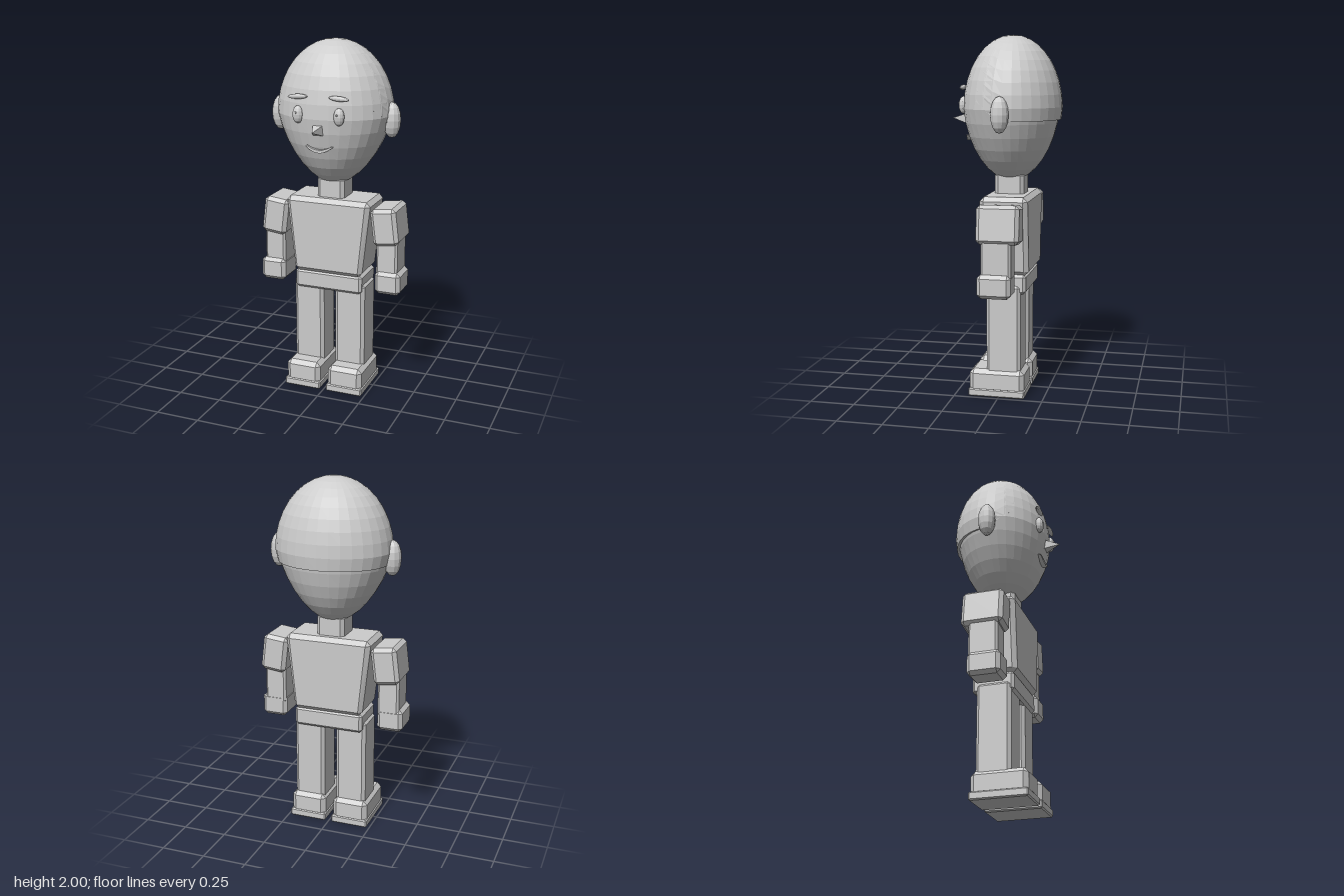
import * as THREE from 'three';
import { ConvexGeometry } from 'three/addons/geometries/ConvexGeometry.js';

const grey = new THREE.MeshStandardMaterial({ color: 0xcccccc });
grey.name = 'plain grey';

const CZ = -0.03; // depth of the body's middle plane

function add(parent, name, geometry, x = 0, y = 0, z = 0) {
  const mesh = new THREE.Mesh(geometry, grey);
  mesh.name = name;
  mesh.position.set(x, y, z);
  parent.add(mesh);
  return mesh;
}

function faceted(geometry) {
  const g = geometry.index ? geometry.toNonIndexed() : geometry;
  g.computeVertexNormals();
  return g;
}

// Box with chamfered edges; the bottom width may be narrower than the top
function chamferBox(w, h, d, c = 0.02, bottom = 1) {
  const pts = [];
  for (const sx of [-1, 1]) for (const sy of [-1, 1]) for (const sz of [-1, 1]) {
    for (let axis = 0; axis < 3; axis++) {
      const p = [w / 2, h / 2, d / 2].map((v, i) => (i === axis ? v : v - c));
      const y = sy * p[1];
      const k = bottom + (1 - bottom) * (y / h + 0.5);
      pts.push(new THREE.Vector3(sx * p[0] * k, y, sz * p[2]));
    }
  }
  return new ConvexGeometry(pts);
}

function ellipsoid(rx, ry, rz, seg = 12, rings = 8) {
  return faceted(new THREE.SphereGeometry(1, seg, rings).scale(rx, ry, rz));
}

// Point on an egg: polar angle from the crown, azimuth round the head
function eggPoint(theta, phi, rx, ry, rz, cz) {
  const c = Math.cos(theta), s = Math.sin(theta), low = Math.max(0, -c);
  return new THREE.Vector3(
    rx * s * Math.cos(phi) * (1 - 0.26 * low),
    1.6 + ry * c,
    cz + rz * s * Math.sin(phi) * (1 - 0.1 * low));
}

function eggGeometry() {
  const g = new THREE.SphereGeometry(1, 32, 16);
  const p = g.attributes.position;
  for (let i = 0; i < p.count; i++) {
    const theta = Math.acos(THREE.MathUtils.clamp(p.getY(i), -1, 1));
    const phi = Math.atan2(p.getZ(i), p.getX(i));
    const v = eggPoint(theta, phi, 0.325, 0.4, 0.265, CZ);
    p.setXYZ(i, v.x, v.y, v.z);
  }
  return faceted(g);
}

// Cap over the crown: level edge at the back, rising toward the forehead
function hairGeometry() {
  const cols = 32, rows = 10, pos = [], idx = [];
  const at = (t, phi) => eggPoint(t, phi, 0.329, 0.401, 0.272, -0.04);
  for (let j = 0; j <= cols; j++) {
    const phi = (j / cols) * Math.PI * 2;
    let lo = 0, hi = 2.2;
    for (let k = 0; k < 30; k++) {
      const mid = (lo + hi) / 2, v = at(mid, phi);
      if (v.y > 1.54 + Math.max(0, v.z + 0.02) * 0.8) lo = mid; else hi = mid;
    }
    for (let i = 0; i <= rows; i++) pos.push(...at(lo * i / rows, phi).toArray());
    const lip = at(lo, phi); // inward lip under the edge
    pos.push(lip.x * 0.94, lip.y, CZ + (lip.z - CZ) * 0.92);
  }
  const n = rows + 2;
  for (let j = 0; j < cols; j++) for (let i = 0; i < n - 1; i++) {
    const a = j * n + i, b = a + n;
    if (i > 0) idx.push(a, b, a + 1);
    idx.push(b, b + 1, a + 1);
  }
  const g = new THREE.BufferGeometry();
  g.setAttribute('position', new THREE.Float32BufferAttribute(pos, 3));
  g.setIndex(idx);
  return faceted(g);
}

// Thin smile, thickest in the middle
function mouthGeometry() {
  const s = new THREE.Shape();
  s.moveTo(-0.078, 1.452);
  s.quadraticCurveTo(0, 1.385, 0.078, 1.452);
  s.lineTo(0.07, 1.456);
  s.quadraticCurveTo(0, 1.415, -0.07, 1.456);
  s.closePath();
  const g = new THREE.ExtrudeGeometry(s, { depth: 0.03, bevelEnabled: false, curveSegments: 10 });
  const p = g.attributes.position;
  for (let i = 0; i < p.count; i++) {
    const x = p.getX(i);
    p.setZ(i, p.getZ(i) + 0.19 - 1.6 * x * x); // wrap round the face
  }
  return faceted(g);
}

export function createModel() {
  const model = new THREE.Group();
  model.name = 'figure';

  // Head and face
  const head = new THREE.Group();
  head.name = 'head';
  model.add(head);
  add(head, 'skull', eggGeometry());
  add(head, 'hairCap', hairGeometry());
  add(head, 'mouth', mouthGeometry());
  const nose = new THREE.ConeGeometry(0.042, 0.09, 4).rotateY(Math.PI / 4).rotateX(Math.PI / 2);
  add(head, 'nose', faceted(nose), 0, 1.543, 0.263);

  // Trunk
  add(model, 'neck', chamferBox(0.16, 0.16, 0.165), 0, 1.17, CZ);
  add(model, 'torso', chamferBox(0.5, 0.44, 0.266, 0.025, 0.8), 0, 0.91, CZ);
  add(model, 'hips', chamferBox(0.4, 0.11, 0.235, 0.015), 0, 0.642, CZ);

  for (const side of [-1, 1]) {
    const label = (part) => (side > 0 ? 'left' : 'right') + part;

    // Face features
    add(head, label('Ear'), ellipsoid(0.05, 0.098, 0.05), side * 0.328, 1.577, CZ);
    add(head, label('Eye'), ellipsoid(0.03, 0.048, 0.026), side * 0.117, 1.62, 0.217);
    add(head, label('Glint'), ellipsoid(0.006, 0.007, 0.005, 6, 4), side * 0.117 - 0.004, 1.632, 0.241);
    const brow = add(head, label('Eyebrow'), ellipsoid(0.058, 0.014, 0.014), side * 0.117, 1.716, 0.218);
    brow.rotation.z = -side * 0.06;

    // Arm
    const arm = new THREE.Group();
    arm.name = label('Arm');
    model.add(arm);
    const upper = add(arm, 'upperArm', chamferBox(0.147, 0.21, 0.233), side * 0.327, 0.995, CZ);
    upper.rotation.z = side * 0.12;
    add(arm, 'forearm', chamferBox(0.123, 0.24, 0.165, 0.012), side * 0.338, 0.81, -0.022);
    add(arm, 'hand', chamferBox(0.147, 0.13, 0.185), side * 0.347, 0.67, -0.013);

    // Leg
    const leg = new THREE.Group();
    leg.name = label('Leg');
    model.add(leg);
    add(leg, 'shin', chamferBox(0.177, 0.56, 0.193, 0.018), side * 0.124, 0.36, -0.024);
    add(leg, 'shoe', chamferBox(0.206, 0.135, 0.31, 0.024), side * 0.127, 0.0875, 0.012);
    add(leg, 'sole', chamferBox(0.216, 0.045, 0.32, 0.007), side * 0.127, 0.0225, 0.012);
  }
  return model;
}
